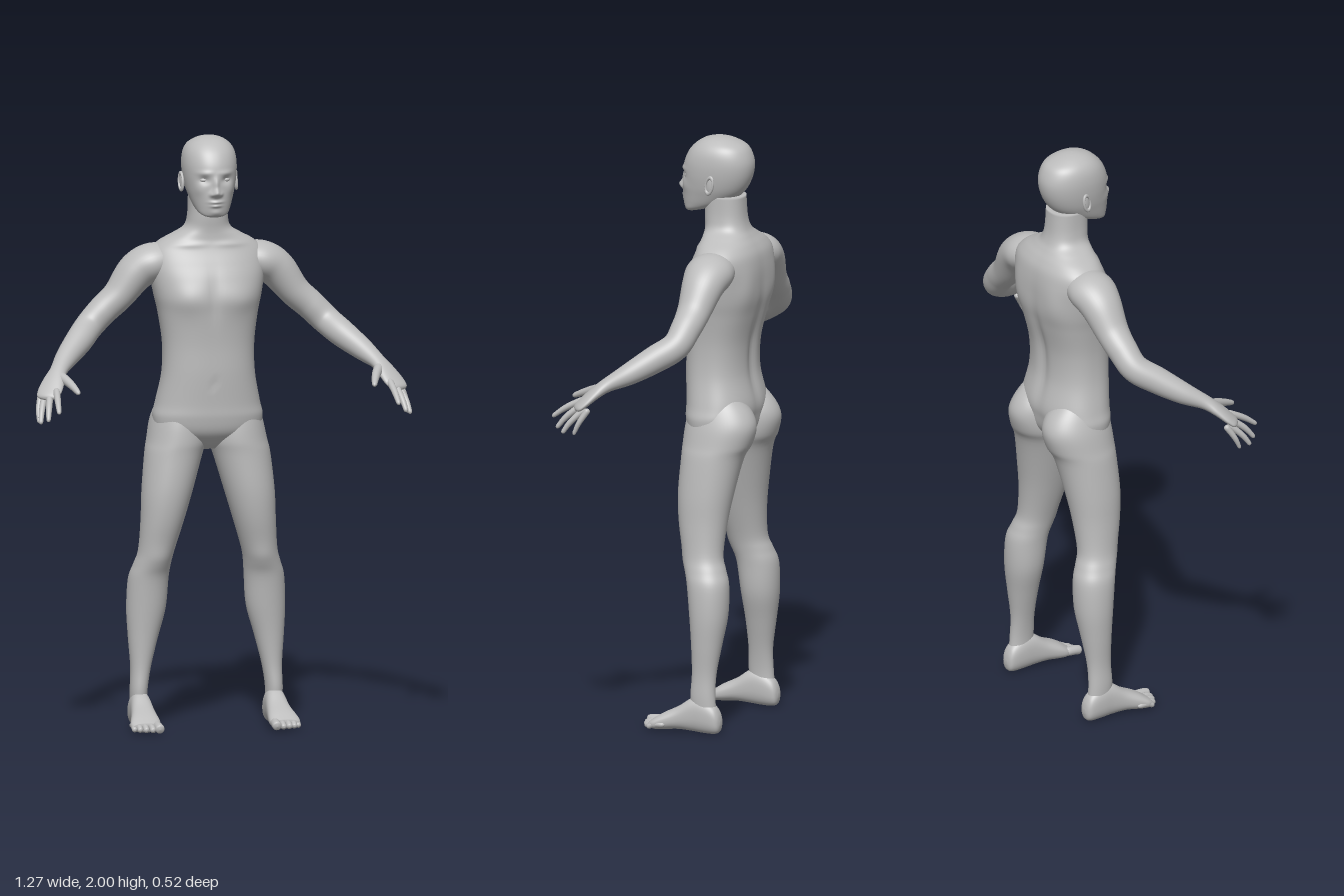
import * as THREE from 'three';

const skin = new THREE.MeshStandardMaterial({ color: 0xbcbcbc });
skin.name = 'grey skin';

// Catmull-Rom blend of every number in a list of rows, t from 0 to 1
function sample(rows, t) {
  const n = rows.length - 1;
  const i = Math.min(Math.floor(t * n), n - 1), f = t * n - i;
  const [a, b, c, d] = [-1, 0, 1, 2].map(k => rows[Math.min(Math.max(i + k, 0), n)]);
  return b.map((_, k) => 0.5 * (2 * b[k] + (c[k] - a[k]) * f
    + (2 * a[k] - 5 * b[k] + 4 * c[k] - d[k]) * f * f
    + (3 * b[k] - a[k] - 3 * c[k] + d[k]) * f * f * f));
}

// Closed smooth surface from rings of points, capped at both ends, facing outward
function ringSurface(name, rings, cols, pointAt) {
  const pts = [], index = [];
  for (let r = 0; r <= rings; r++)
    for (let c = 0; c < cols; c++) pts.push(pointAt(r / rings, (c / cols) * Math.PI * 2));
  for (let r = 0; r < rings; r++)
    for (let c = 0; c < cols; c++) {
      const a = r * cols + c, b = r * cols + (c + 1) % cols;
      index.push(a, b, a + cols, b, b + cols, a + cols);
    }
  for (const first of [0, rings * cols]) {
    const mid = new THREE.Vector3();
    for (let c = 0; c < cols; c++) mid.addScaledVector(pts[first + c], 1 / cols);
    const m = pts.push(mid) - 1;
    for (let c = 0; c < cols; c++) {
      const a = first + c, b = first + (c + 1) % cols;
      if (first === 0) index.push(m, b, a); else index.push(m, a, b);
    }
  }
  // turn the faces outward if the enclosed volume is negative
  let volume = 0;
  const cross = new THREE.Vector3();
  for (let i = 0; i < index.length; i += 3)
    volume += pts[index[i]].dot(cross.crossVectors(pts[index[i + 1]], pts[index[i + 2]]));
  if (volume < 0) index.reverse();
  const geo = new THREE.BufferGeometry().setFromPoints(pts);
  geo.setIndex(index);
  geo.computeVertexNormals();
  const mesh = new THREE.Mesh(geo, skin);
  mesh.name = name;
  return mesh;
}

// Stacked cross-sections: rows are [level, x from, x to, depth from, depth to]
// bumps are [x, y, z, size x, size y, size z, push]
function stack(name, rows, { rings = 70, cols = 56, power = 2.2, side = 1, along = 'y', bumps = [] } = {}) {
  const round = v => Math.sign(v) * Math.abs(v) ** (2 / power);
  return ringSurface(name, rings, cols, (t, angle) => {
    const [level, x0, x1, d0, d1] = sample(rows, t);
    const dx = (x1 - x0) / 2 * round(Math.cos(angle)), dd = (d0 - d1) / 2 * round(Math.sin(angle));
    const x = (x0 + x1) / 2 + dx, d = (d0 + d1) / 2 + dd;
    if (along === 'z') return new THREE.Vector3(x * side, d, level);
    let push = 0;
    for (const [bx, by, bz, sx, sy, sz, amount] of bumps)
      push += amount * Math.exp(-(((Math.abs(x) - bx) / sx) ** 2)
        - ((level - by) / sy) ** 2 - ((d - bz) / sz) ** 2);
    const len = Math.hypot(dx, dd) || 1;
    return new THREE.Vector3((x + push * dx / len) * side, level, d + push * dd / len);
  });
}

// Limb along a path: rows are [x, y, z, thickness radius, width radius], rounded ends
function limb(name, rows, { rings = 24, cols = 18, side = 1, cap = 0.14 } = {}) {
  const at = t => new THREE.Vector3(...sample(rows, t));
  return ringSurface(name, rings, cols, (t, angle) => {
    const [x, y, z, thick, wide = thick] = sample(rows, t);
    const tangent = at(Math.min(t + 0.01, 1)).sub(at(Math.max(t - 0.01, 0))).normalize();
    const across = new THREE.Vector3(0, 1, 0).cross(tangent).normalize();
    const up = tangent.clone().cross(across);
    const e = Math.max(0, 1 - Math.min(t, 1 - t) / cap);
    const k = Math.sqrt(Math.max(0.004, 1 - e * e));
    const p = new THREE.Vector3(x, y, z)
      .addScaledVector(across, wide * k * Math.cos(angle))
      .addScaledVector(up, thick * k * Math.sin(angle));
    p.x *= side;
    return p;
  });
}

const mirrored = rows => rows.map(([y, w, front, back]) => [y, -w, w, front, back]);

const torsoRows = mirrored([
  [0.94, 0.03, -0.08, -0.13], [0.96, 0.1, -0.05, -0.18], [1.0, 0.17, -0.015, -0.215],
  [1.05, 0.186, -0.002, -0.228], [1.1, 0.176, 0, -0.232], [1.2, 0.157, 0.005, -0.212],
  [1.3, 0.155, 0.006, -0.215], [1.4, 0.168, 0.013, -0.238], [1.46, 0.181, 0.015, -0.25],
  [1.52, 0.192, 0.002, -0.252], [1.57, 0.198, -0.018, -0.25], [1.61, 0.19, -0.035, -0.243],
  [1.64, 0.16, -0.045, -0.228], [1.665, 0.115, -0.048, -0.21], [1.69, 0.078, -0.048, -0.195],
  [1.73, 0.067, -0.045, -0.185], [1.8, 0.065, -0.045, -0.18],
]);
const torsoBumps = [
  [0.085, 1.455, 0.01, 0.06, 0.05, 0.06, 0.01],      // chest muscles
  [0, 1.47, 0.02, 0.018, 0.08, 0.05, -0.006],        // breastbone
  [0.08, 1.635, -0.03, 0.06, 0.01, 0.05, 0.005],     // collarbones
  [0, 1.3, -0.22, 0.025, 0.2, 0.05, -0.012],         // spine groove
  [0.1, 1.5, -0.24, 0.045, 0.07, 0.05, 0.008],       // shoulder blades
  [0, 1.17, 0.005, 0.01, 0.01, 0.04, -0.006],        // navel
];

const headRows = mirrored([
  [1.735, 0.015, 0.015, 0], [1.74, 0.035, 0.026, -0.02], [1.75, 0.05, 0.031, -0.06],
  [1.77, 0.062, 0.036, -0.12], [1.8, 0.073, 0.038, -0.165], [1.83, 0.082, 0.036, -0.19],
  [1.87, 0.089, 0.036, -0.207], [1.91, 0.091, 0.03, -0.212], [1.945, 0.086, 0.014, -0.203],
  [1.97, 0.073, -0.008, -0.185], [1.988, 0.05, -0.035, -0.15], [1.997, 0.025, -0.065, -0.118],
  [2.0, 0.001, -0.09, -0.092],
]);
const headBumps = [
  [0, 1.82, 0.04, 0.012, 0.014, 0.05, 0.021],        // nose tip
  [0, 1.848, 0.04, 0.009, 0.022, 0.05, 0.01],        // nose bridge
  [0.015, 1.815, 0.04, 0.008, 0.008, 0.05, 0.007],   // nostrils
  [0.038, 1.862, 0.03, 0.018, 0.012, 0.04, -0.01],   // eye sockets
  [0.035, 1.886, 0.03, 0.025, 0.008, 0.04, 0.004],   // brows
  [0, 1.789, 0.04, 0.02, 0.005, 0.05, 0.008],        // upper lip
  [0, 1.776, 0.04, 0.017, 0.005, 0.05, 0.007],       // lower lip
  [0.05, 1.83, 0.015, 0.02, 0.02, 0.03, 0.004],      // cheeks
  [0, 1.752, 0.03, 0.018, 0.01, 0.04, 0.004],        // chin
];

const legRows = [
  [1.13, 0.04, 0.15, -0.06, -0.2], [1.08, 0.012, 0.174, -0.03, -0.245],
  [1.03, 0.004, 0.191, -0.018, -0.264], [0.97, 0.003, 0.203, -0.012, -0.25],
  [0.92, 0.02, 0.213, -0.012, -0.225], [0.8, 0.055, 0.225, -0.01, -0.2],
  [0.7, 0.085, 0.229, -0.02, -0.185], [0.6, 0.115, 0.236, -0.042, -0.18],
  [0.55, 0.125, 0.25, -0.055, -0.195], [0.5, 0.13, 0.265, -0.068, -0.21],
  [0.4, 0.138, 0.27, -0.08, -0.21], [0.3, 0.165, 0.265, -0.09, -0.195],
  [0.2, 0.19, 0.258, -0.095, -0.18], [0.12, 0.202, 0.26, -0.092, -0.18],
  [0.05, 0.203, 0.257, -0.1, -0.187],
];
const legBumps = [[0.175, 0.575, -0.05, 0.035, 0.04, 0.04, 0.006]]; // kneecap

const footRows = [
  [-0.202, 0.222, 0.238, 0.03, 0.045], [-0.196, 0.207, 0.252, 0.008, 0.07],
  [-0.18, 0.2, 0.26, 0, 0.095], [-0.14, 0.196, 0.264, 0, 0.12], [-0.1, 0.194, 0.266, 0.003, 0.118],
  [-0.05, 0.19, 0.273, 0.006, 0.085], [0, 0.185, 0.285, 0.002, 0.06],
  [0.025, 0.187, 0.289, 0.002, 0.045], [0.042, 0.195, 0.282, 0.008, 0.034],
];
// toes: [root x, tip x, tip z, radius]
const toes = [[0.203, 0.2, 0.082, 0.016], [0.226, 0.223, 0.08, 0.0105], [0.246, 0.244, 0.073, 0.0105],
  [0.264, 0.263, 0.063, 0.01], [0.279, 0.279, 0.048, 0.0095]];

const armRows = [
  [0.12, 1.575, -0.14, 0.055, 0.07], [0.185, 1.567, -0.14, 0.066, 0.083],
  [0.24, 1.535, -0.14, 0.064, 0.073], [0.3, 1.46, -0.135, 0.053, 0.058],
  [0.355, 1.41, -0.13, 0.05, 0.051], [0.405, 1.36, -0.115, 0.048, 0.047],
  [0.45, 1.32, -0.06, 0.046, 0.046], [0.505, 1.275, 0.008, 0.037, 0.038],
  [0.545, 1.24, 0.07, 0.024, 0.03], [0.567, 1.213, 0.105, 0.019, 0.038],
  [0.588, 1.182, 0.137, 0.015, 0.043], [0.605, 1.157, 0.162, 0.011, 0.036],
];
const fingers = {
  indexFinger: [[0.568, 1.188, 0.145, 0.012], [0.575, 1.156, 0.208, 0.0105], [0.58, 1.12, 0.258, 0.007]],
  middleFinger: [[0.588, 1.175, 0.14, 0.012], [0.602, 1.133, 0.193, 0.0105], [0.611, 1.09, 0.228, 0.007]],
  ringFinger: [[0.604, 1.165, 0.125, 0.0115], [0.622, 1.12, 0.17, 0.01], [0.631, 1.079, 0.198, 0.007]],
  littleFinger: [[0.613, 1.168, 0.108, 0.011], [0.627, 1.12, 0.137, 0.009], [0.629, 1.077, 0.157, 0.006]],
  thumb: [[0.55, 1.228, 0.085, 0.019], [0.528, 1.212, 0.135, 0.0155], [0.514, 1.196, 0.178, 0.012], [0.504, 1.18, 0.217, 0.008]],
};

// Small ellipsoid for eyes and ears
function blob(name, position, scale) {
  const mesh = new THREE.Mesh(new THREE.SphereGeometry(1, 24, 16), skin);
  mesh.name = name;
  mesh.position.set(...position);
  mesh.scale.set(...scale);
  return mesh;
}

export function createModel() {
  const body = new THREE.Group();
  body.name = 'body';
  body.add(stack('torso', torsoRows, { rings: 100, cols: 96, power: 2.35, bumps: torsoBumps }));
  body.add(stack('head', headRows, { rings: 110, cols: 128, power: 2.15, bumps: headBumps }));

  for (const side of [1, -1]) {
    const label = side > 0 ? 'left' : 'right';
    const add = (...parts) => body.add(...parts);
    add(stack(label + 'Leg', legRows, { side, bumps: legBumps, power: 2.1 }));
    add(stack(label + 'Foot', footRows, { side, along: 'z', rings: 40, cols: 40, power: 2.4 }));
    toes.forEach(([x0, x1, z, r], i) => add(limb(label + 'Toe' + (i + 1),
      [[x0, 0.024, z - 0.065, r], [x1, 0.022, z - 0.025, r], [x1, r + 0.001, z, r]],
      { side, rings: 16, cols: 14, cap: 0.25 })));
    add(limb(label + 'Arm', armRows, { side, rings: 90, cols: 40, cap: 0.05 }));
    for (const [name, rows] of Object.entries(fingers)) add(limb(label + ' ' + name, rows, { side }));
    add(blob(label + 'Eye', [side * 0.037, 1.862, 0.008], [0.015, 0.009, 0.013]));

    // Ear: flat shell with a raised rim
    const ear = new THREE.Group();
    ear.name = label + 'Ear';
    const rim = new THREE.Mesh(new THREE.TorusGeometry(0.02, 0.005, 10, 28), skin);
    rim.name = 'earRim';
    rim.rotation.y = Math.PI / 2;
    rim.scale.set(0.75, 1.4, 1);
    ear.add(rim, blob('earShell', [-side * 0.004, 0, 0], [0.006, 0.028, 0.015]));
    ear.position.set(side * 0.094, 1.845, -0.095);
    ear.rotation.set(-0.2, -side * 0.25, 0);
    add(ear);
  }
  return body;
}
